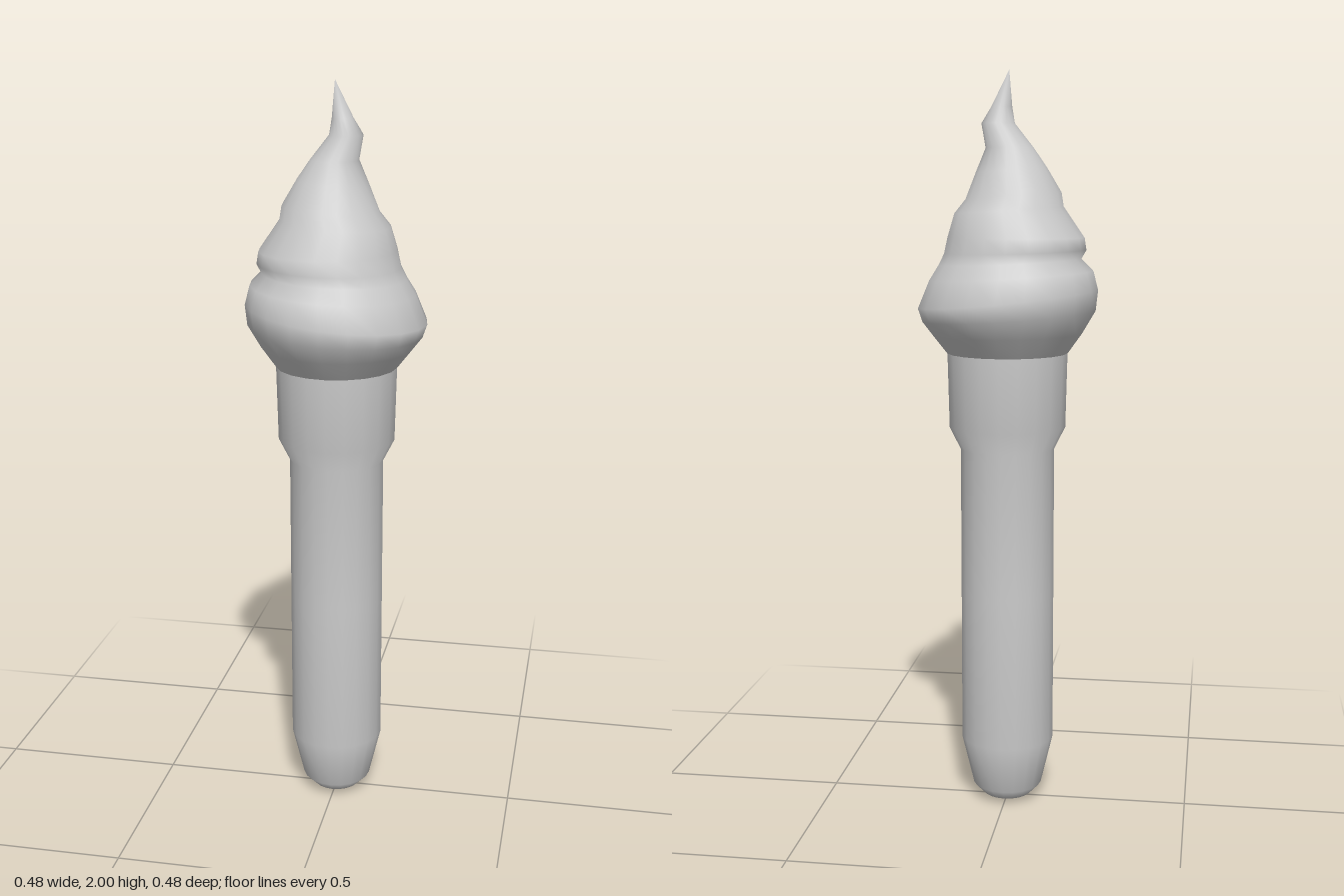
import * as THREE from 'three';
import { mergeVertices } from 'three/addons/utils/BufferGeometryUtils.js';

const SIDES = 20;
const material = new THREE.MeshStandardMaterial({ color: 0xcccccc });

function addPart(group, name, geometry) {
  const mesh = new THREE.Mesh(geometry, material);
  mesh.name = name;
  group.add(mesh);
}

function lathe(points) {
  return new THREE.LatheGeometry(points.map(([r, y]) => new THREE.Vector2(r, y)), SIDES);
}

// Stacked tilted rings, each given as [left x, left y, right x, right y]
function swirlGeometry(rings) {
  const geo = lathe(rings.map((ring, i) => [1, i]));
  const pos = geo.attributes.position;
  for (let i = 0; i < pos.count; i++) {
    const [xl, yl, xr, yr] = rings[Math.round(pos.getY(i))];
    const t = (pos.getX(i) + 1) / 2;
    pos.setXYZ(i, xl + (xr - xl) * t, yl + (yr - yl) * t, pos.getZ(i) * (xr - xl) / 2);
  }
  // Weld the seam so the shading stays smooth all round
  geo.deleteAttribute('uv');
  geo.deleteAttribute('normal');
  const welded = mergeVertices(geo, 1e-5);
  welded.computeVertexNormals();
  return welded;
}

export function createModel() {
  const group = new THREE.Group();
  group.name = 'softServeCone';

  // Long wafer stem with a rounded foot and a flared cup
  addPart(group, 'waferCone', lathe([
    [0, 0], [0.035, 0.002], [0.066, 0.012], [0.095, 0.042], [0.128, 0.18],
    [0.128, 0.6], [0.128, 1.0], [0.158, 1.06], [0.163, 1.27],
  ]));

  // Swirl with ridges on one side and a bent, pointed tip
  addPart(group, 'iceCreamSwirl', swirlGeometry([
    [-0.163, 1.26, 0.163, 1.26],
    [-0.202, 1.315, 0.202, 1.31],
    [-0.237, 1.375, 0.229, 1.345],
    [-0.243, 1.43, 0.241, 1.38],
    [-0.23, 1.48, 0.21, 1.455],
    [-0.198, 1.512, 0.185, 1.495],
    [-0.211, 1.535, 0.17, 1.525],
    [-0.206, 1.567, 0.16, 1.57],
    [-0.15, 1.648, 0.142, 1.63],
    [-0.144, 1.685, 0.112, 1.667],
    [-0.105, 1.75, 0.085, 1.735],
    [-0.07, 1.8, 0.058, 1.8],
    [-0.02, 1.863, 0.069, 1.863],
    [-0.013, 1.905, 0.043, 1.905],
    [-0.005, 2, -0.005, 2],
  ]));

  return group;
}
